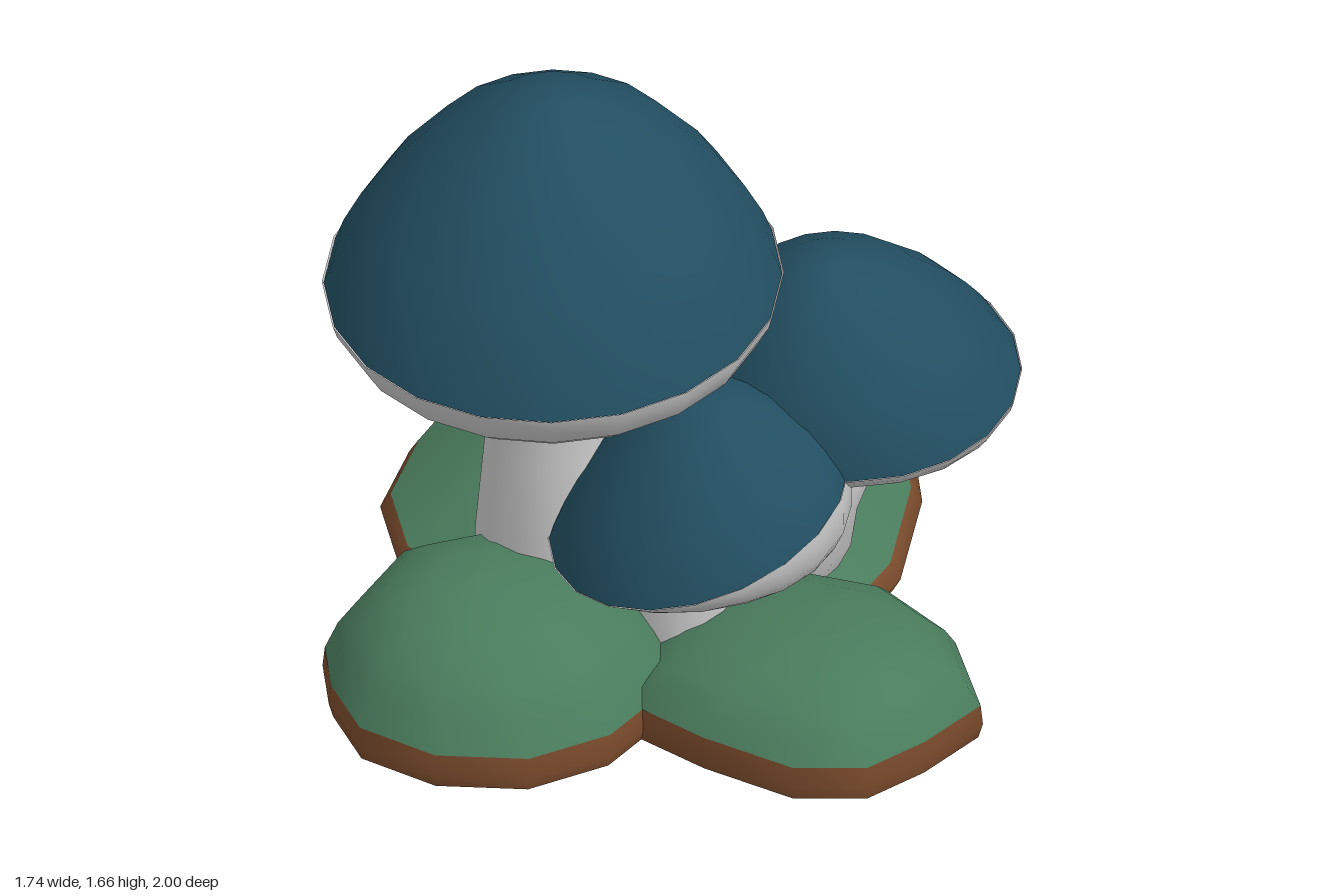
import * as THREE from 'three';
import { mergeVertices } from 'three/addons/utils/BufferGeometryUtils.js';

const mat = (color) => new THREE.MeshStandardMaterial({ color, side: THREE.DoubleSide });
const grey = mat(0xcccccc), blue = mat(0x224e61), green = mat(0x4a7c5d), brown = mat(0x7c4c2d);

function mesh(geometry, material, name) {
  const m = new THREE.Mesh(geometry, material);
  m.name = name;
  return m;
}

// Skin a list of rings (arrays of [x, y, z], bottom to top) with smooth normals
function loft(rings) {
  const n = rings[0].length, index = [];
  for (let k = 0; k < rings.length - 1; k++) {
    for (let i = 0; i < n; i++) {
      const a = k * n + i, b = k * n + (i + 1) % n;
      index.push(a, a + n, b, b, a + n, b + n);
    }
  }
  const g = new THREE.BufferGeometry();
  g.setAttribute('position', new THREE.Float32BufferAttribute(rings.flat(2), 3));
  g.setIndex(index);
  g.computeVertexNormals();
  return g;
}

// Horizontal circle, radius r
function circle(x, y, z, r, n = 14) {
  return Array.from({ length: n }, (_, i) => {
    const a = (i / n) * Math.PI * 2;
    return [x + r * Math.cos(a), y, z + r * Math.sin(a)];
  });
}

// Unit cap profiles: bell-shaped dome and rounded, hollowed underside
const v2 = ([x, y]) => new THREE.Vector2(x, y);
const domeProfile = [[1, 0], [0.96, 0.11], [0.88, 0.27], [0.78, 0.43], [0.56, 0.7], [0.31, 0.89], [0.13, 0.97], [0, 0.985]].map(v2);
const gillProfile = [[0, -0.06], [0.3, -0.09], [0.5, -0.2], [0.7, -0.275], [0.82, -0.265], [0.93, -0.17], [0.99, -0.06], [1.008, 0.005]].map(v2);

// Dome of a given height, its top pushed sideways by lean [x, z]
function domeGeometry(height, [lx, lz]) {
  return new THREE.LatheGeometry(domeProfile, 20)
    .scale(1, height, 1)
    .applyMatrix4(new THREE.Matrix4().makeShear(0, 0, lx, lz, 0, 0));
}

// Underside that gets thicker towards the raised side of the tilted cap
function undersideGeometry(tilt, uneven) {
  const up = new THREE.Vector2(tilt[1], -tilt[0]).setLength(uneven);
  const lathe = new THREE.LatheGeometry(gillProfile, 20);
  lathe.deleteAttribute('uv').deleteAttribute('normal');
  const g = mergeVertices(lathe), p = g.attributes.position;
  for (let i = 0; i < p.count; i++) {
    p.setY(i, p.getY(i) * (1 + up.x * p.getX(i) + up.y * p.getZ(i)));
  }
  g.computeVertexNormals();
  return g;
}

function mushroom({ name, at, radius, height, tilt, lean, uneven, stem }) {
  const g = new THREE.Group();
  g.name = name;

  // Stem: rings of [x, y, z, radius], closed underneath
  const [bx, by, bz] = stem[0];
  g.add(mesh(loft([circle(bx, by, bz, 0), ...stem.map((s) => circle(...s))]), grey, 'stem'));

  // Tilted cap
  const cap = new THREE.Group();
  cap.name = 'cap';
  cap.add(mesh(domeGeometry(height, lean), blue, 'capDome'));
  cap.add(mesh(undersideGeometry(tilt, uneven), grey, 'capUnderside'));
  cap.scale.setScalar(radius);
  cap.rotation.set(tilt[0], 0, tilt[1]);
  cap.position.set(...at);
  g.add(cap);
  return g;
}

// Grassy mound on a soil edge; outline of [x, z], peak [x, y, z], slope of [scale, height share]
function mound({ name, outline, peak: [px, py, pz], rim, slope }) {
  const ring = (s, y) => outline.map(([x, z]) => [px + (x - px) * s, y, pz + (z - pz) * s]);
  const g = new THREE.Group();
  g.name = name;
  g.add(mesh(loft(slope.map(([s, h]) => ring(s, rim + (py - rim) * h))), green, 'grass'));
  g.add(mesh(loft([ring(0.97, 0.03), ring(1, 0.07), ring(slope[0][0], rim)]), brown, 'soilEdge'));
  g.add(mesh(loft([ring(0, 0.025), ring(0.97, 0.03)]), brown, 'soilBase'));
  return g;
}

export function createModel() {
  const model = new THREE.Group();
  model.name = 'mushroomCluster';

  const steep = [[0.985, 0], [0.9, 0.3], [0.77, 0.58], [0.55, 0.85], [0.28, 0.97], [0, 1]];
  const gentle = [[0.96, 0], [0.85, 0.24], [0.62, 0.67], [0.35, 0.94], [0, 1]];

  // Ground
  model.add(
    mound({
      name: 'backMound', peak: [-0.25, 0.31, -0.33], rim: 0.11, slope: gentle,
      outline: [[-0.87, -0.36], [-0.84, -0.58], [-0.6, -0.9], [-0.15, -1], [0.3, -0.8], [0.41, -0.55],
        [0.47, -0.2], [0.42, 0.15], [0.2, 0.4], [-0.3, 0.4], [-0.74, 0.12], [-0.86, -0.1]],
    }),
    mound({
      name: 'frontMound', peak: [-0.39, 0.38, 0.56], rim: 0.125, slope: steep,
      outline: [[-0.72, 0.3], [-0.4, 0.05], [-0.02, 0.15], [0.12, 0.5], [0.04, 0.77], [-0.12, 0.94],
        [-0.35, 1], [-0.57, 0.94], [-0.7, 0.78], [-0.77, 0.62]],
    }),
    mound({
      name: 'leftMound', peak: [0.49, 0.29, 0.4], rim: 0.125, slope: steep,
      outline: [[0.72, 0.1], [0.87, 0.35], [0.79, 0.55], [0.69, 0.71], [0.51, 0.77], [0.25, 0.71],
        [0.02, 0.62], [-0.03, 0.2], [0.2, -0.04], [0.5, -0.04]],
    }),
  );

  // Mushrooms
  model.add(
    mushroom({
      name: 'tallMushroom', at: [-0.28, 1.115, 0.28], radius: 0.57, height: 0.97,
      tilt: [0.1, 0], lean: [0, -0.07], uneven: 0,
      stem: [[-0.28, 0.1, 0.16, 0.24], [-0.28, 0.35, 0.2, 0.22], [-0.28, 0.65, 0.23, 0.185],
        [-0.28, 0.95, 0.25, 0.15], [-0.28, 1.08, 0.27, 0.19]],
    }),
    mushroom({
      name: 'leftMushroom', at: [0.365, 0.715, -0.133], radius: 0.42, height: 0.96,
      tilt: [0.13, -0.03], lean: [-0.1, 0.15], uneven: 0.4,
      stem: [[0.14, 0, -0.1, 0.07], [0.14, 0.03, -0.1, 0.12], [0.17, 0.1, -0.09, 0.15], [0.2, 0.23, -0.08, 0.18],
        [0.25, 0.35, -0.07, 0.15], [0.32, 0.47, -0.11, 0.118], [0.35, 0.58, -0.13, 0.105], [0.365, 0.7, -0.14, 0.16]],
    }),
    mushroom({
      name: 'frontMushroom', at: [0.115, 0.55, 0.32], radius: 0.39, height: 0.815,
      tilt: [0.2, 0.26], lean: [0.18, -0.1], uneven: 0.85,
      stem: [[0.07, 0, 0.28, 0.07], [0.07, 0.03, 0.28, 0.12], [0.06, 0.12, 0.27, 0.14], [0.065, 0.27, 0.28, 0.135],
        [0.1, 0.42, 0.3, 0.1], [0.12, 0.54, 0.32, 0.13]],
    }),
    mushroom({
      name: 'backMushroom', at: [-0.295, 0.555, -0.355], radius: 0.39, height: 0.78,
      tilt: [-0.33, -0.15], lean: [-0.1, 0.14], uneven: 0.8,
      stem: [[-0.25, 0, -0.33, 0.07], [-0.25, 0.03, -0.33, 0.13], [-0.25, 0.12, -0.34, 0.14], [-0.25, 0.3, -0.36, 0.115],
        [-0.27, 0.45, -0.35, 0.1], [-0.3, 0.55, -0.35, 0.13]],
    }),
  );
  return model;
}
